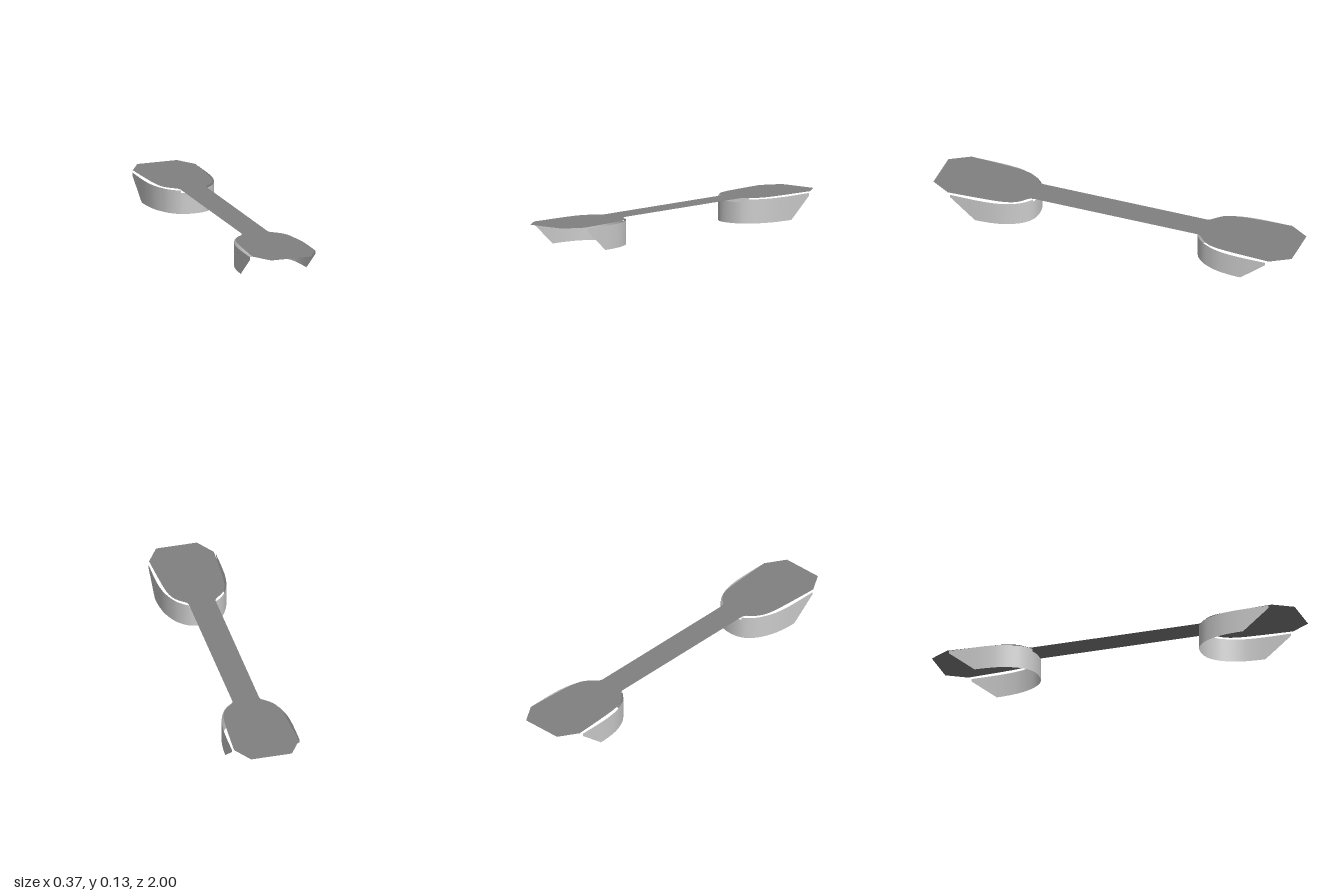
import * as THREE from 'three';

const wallMaterial = new THREE.MeshStandardMaterial({ color: 0xcccccc, side: THREE.DoubleSide });
const plateMaterial = new THREE.MeshStandardMaterial({ color: 0x808080, side: THREE.DoubleSide });

const PLATE_Y = 0.134, WALL_TOP = 0.127, NOTCH_TOP = 0.113;
const WALL_END = 0.88, FOOT_END = 0.74, NOTCH_X = 0.069;

// Flat paddle-ended strip, drawn as one outline quadrant mirrored to four
function makePlate() {
  const bulge = new THREE.SplineCurve([
    [0.072, 0.455], [0.08, 0.478], [0.105, 0.5], [0.13, 0.528], [0.147, 0.565], [0.158, 0.62], [0.166, 0.72], [0.175, 0.895],
  ].map(([x, z]) => new THREE.Vector2(x, z)));
  const quadrant = [...bulge.getPoints(35), new THREE.Vector2(0.11, 1)];
  const mirror = (sx, sz) => quadrant.map((p) => new THREE.Vector2(p.x * sx, p.y * sz));
  const outline = [
    ...mirror(1, 1), ...mirror(-1, 1).reverse(),
    ...mirror(-1, -1), ...mirror(1, -1).reverse(),
  ];
  const geometry = new THREE.ShapeGeometry(new THREE.Shape(outline));
  geometry.rotateX(-Math.PI / 2);
  const plate = new THREE.Mesh(geometry, plateMaterial);
  plate.name = 'topPlate';
  plate.position.y = PLATE_Y;
  return plate;
}

// Thin U-shaped wall: notched at the middle, slanted at the free ends
function makeWallGeometry() {
  const half = [
    [NOTCH_X, 0.46], [0.12, 0.503], [0.15, 0.555], [0.169, 0.61], [0.179, 0.675], [0.1825, FOOT_END], [0.183, WALL_END],
  ];
  const points = [...half.map(([x, z]) => [-x, z]).reverse(), [0, 0.447], ...half]
    .map(([x, z]) => new THREE.Vector3(x, 0, z));
  const path = new THREE.CatmullRomCurve3(points).getPoints((points.length - 1) * 6);

  const positions = [], indices = [];
  const addColumn = (p, top) => {
    const rise = Math.max(0, (p.z - FOOT_END) / (WALL_END - FOOT_END));
    positions.push(p.x, rise * NOTCH_TOP, p.z, p.x, top, p.z);
  };
  for (const p of path) {
    const edge = Math.abs(Math.abs(p.x) - NOTCH_X) < 1e-4;
    const inside = Math.abs(p.x) < NOTCH_X;
    // The notch edge gets a column of each height
    if (edge) {
      const tops = p.x < 0 ? [WALL_TOP, NOTCH_TOP] : [NOTCH_TOP, WALL_TOP];
      tops.forEach((top) => addColumn(p, top));
    } else addColumn(p, inside ? NOTCH_TOP : WALL_TOP);
  }
  // Winding turns the front faces to the outside of the U
  for (let i = 0; i < positions.length / 6 - 1; i++) {
    const a = i * 2;
    indices.push(a, a + 1, a + 2, a + 1, a + 3, a + 2);
  }
  const geometry = new THREE.BufferGeometry();
  geometry.setAttribute('position', new THREE.Float32BufferAttribute(positions, 3));
  geometry.setIndex(indices);
  geometry.computeVertexNormals();
  return geometry;
}

export function createModel() {
  const model = new THREE.Group();
  model.name = 'doublePaddle';
  model.add(makePlate());

  // One curved wall under each paddle
  const wallGeometry = makeWallGeometry();
  for (const [name, turn] of [['frontCurvedWall', 0], ['backCurvedWall', Math.PI]]) {
    const wall = new THREE.Mesh(wallGeometry, wallMaterial);
    wall.name = name;
    wall.rotation.y = turn;
    model.add(wall);
  }
  return model;
}
